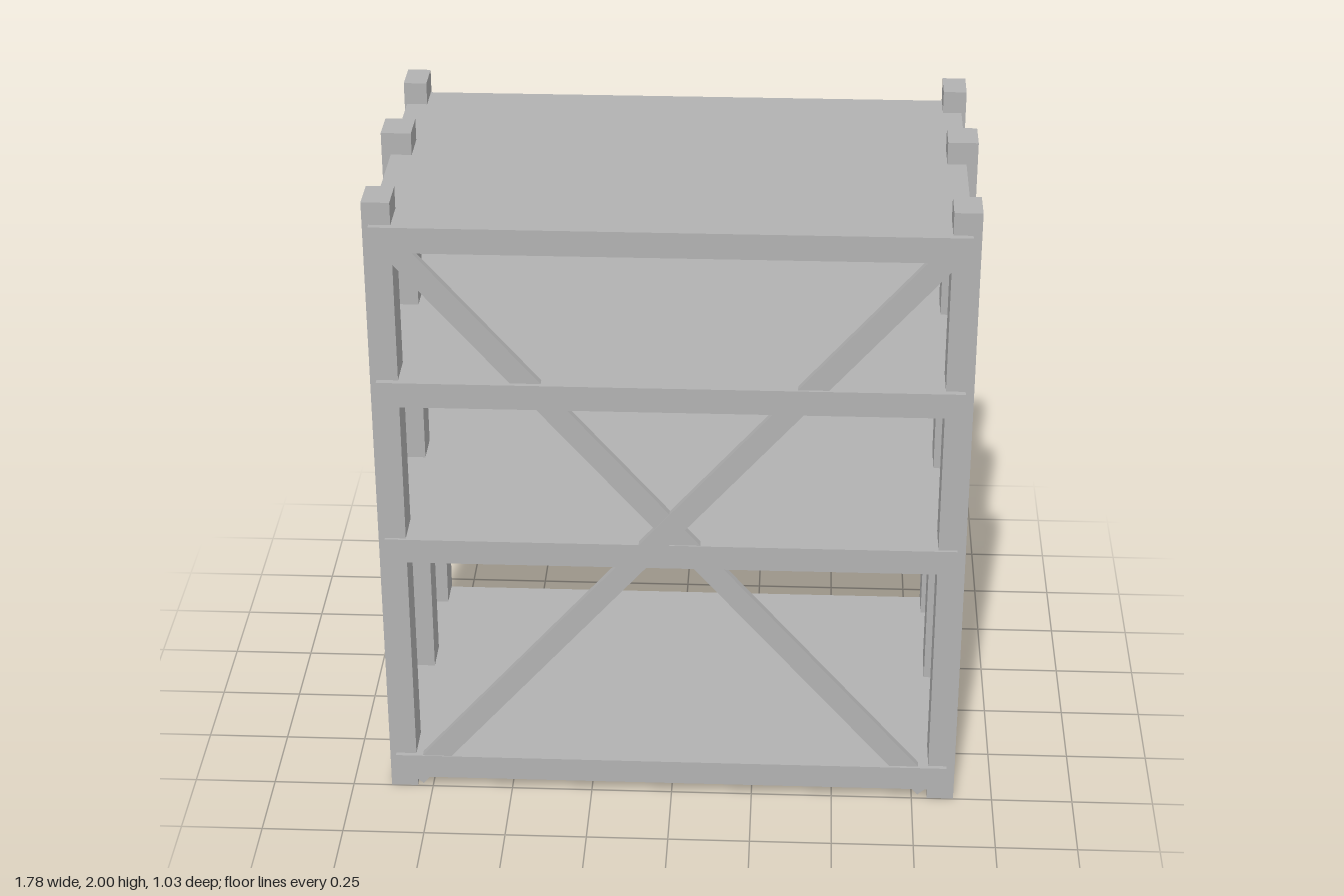
import * as THREE from 'three';

export function createModel() {
  const model = new THREE.Group();
  model.name = 'shelvingRack';
  const grey = new THREE.MeshStandardMaterial({ color: 0xb2b2b2 });
  grey.name = 'grey';

  // Box given by its minimum and maximum on each axis
  function box(name, [x0, x1], [y0, y1], [z0, z1]) {
    const mesh = new THREE.Mesh(new THREE.BoxGeometry(x1 - x0, y1 - y0, z1 - z0), grey);
    mesh.position.set((x0 + x1) / 2, (y0 + y1) / 2, (z0 + z1) / 2);
    mesh.name = name;
    model.add(mesh);
    return mesh;
  }

  // Three posts on each side, each pair set out a little differently
  const posts = [
    ['front', 0.88, 0.383, 0.498],
    ['middle', 0.888, -0.12, -0.006],
    ['back', 0.868, -0.517, -0.403],
  ];
  for (const [place, outer, z0, z1] of posts) {
    box(place + 'LeftPost', [0.798, outer], [0, 2], [z0, z1]);
    box(place + 'RightPost', [-outer, -0.798], [0, 2], [z0, z1]);
  }

  // Four solid shelves: bottom height and front edge
  const shelves = [[0.042, 0.512], [0.82, 0.507], [1.355, 0.517], [1.852, 0.517]];
  shelves.forEach(([y, front], i) => {
    box('shelf' + (i + 1), [-0.861, 0.855], [y, y + 0.079], [-0.502, front]);
  });

  // Crossed diagonal braces on the front
  for (const [name, side, front] of [['risingBrace', 1, 0.509], ['fallingBrace', -1, 0.503]]) {
    const brace = box(name, [-1.214, 1.214], [-0.034, 0.034], [front - 0.025, front]);
    brace.position.x = -0.005;
    brace.position.y = 0.953;
    brace.rotation.z = side * Math.atan2(0.916, 0.8);
  }

  return model;
}
